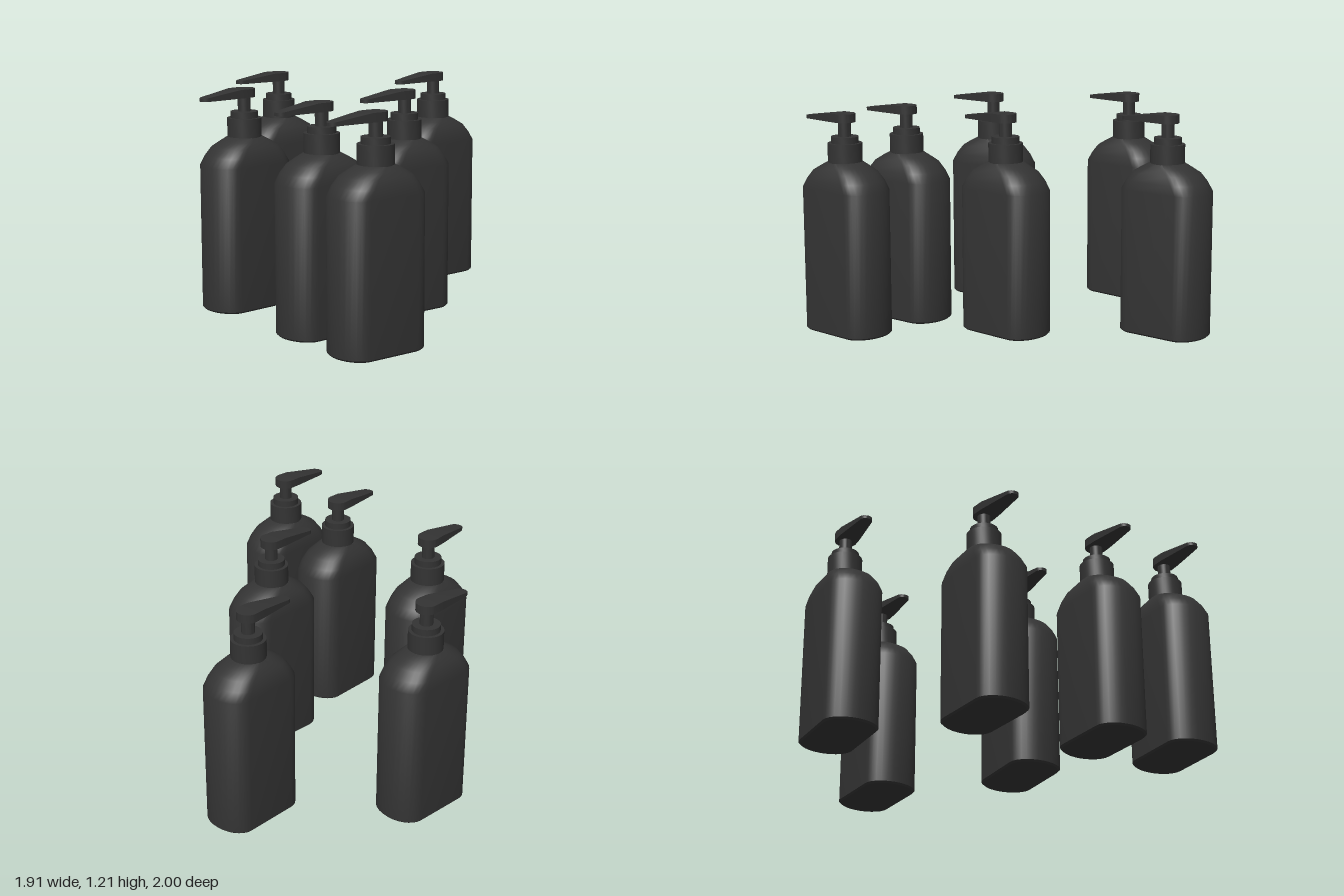
import * as THREE from 'three';
import { toCreasedNormals } from 'three/addons/utils/BufferGeometryUtils.js';

const material = new THREE.MeshStandardMaterial({ color: 0x333333 });

// Skin a list of closed rings (equal point counts) and cap both ends.
function loft(rings, crease) {
  const n = rings[0].length;
  const points = rings.flat();
  const index = [];
  for (let r = 0; r < rings.length - 1; r++) {
    for (let i = 0; i < n; i++) {
      const j = (i + 1) % n;
      const a = r * n + i, b = r * n + j, c = a + n, d = b + n;
      index.push(a, c, b, b, c, d);
    }
  }
  const centre = ring => ring.reduce((s, p) => s.add(p), new THREE.Vector3()).divideScalar(n);
  const start = points.length, end = start + 1, last = (rings.length - 1) * n;
  const all = [...points, centre(rings[0]), centre(rings[rings.length - 1])];
  for (let i = 0; i < n; i++) {
    const j = (i + 1) % n;
    index.push(start, i, j, end, last + j, last + i);
  }
  const geometry = new THREE.BufferGeometry().setFromPoints(all);
  geometry.setIndex(index);
  return toCreasedNormals(geometry, crease);
}

// Horizontal section: straight sides of half length flat, rounded ends.
function bodySection(y, halfWidth, halfDepth, flat) {
  const ring = [], steps = 14;
  for (const side of [1, -1]) {
    for (let i = 0; i <= steps; i++) {
      const t = -Math.PI / 2 + Math.PI * i / steps;
      ring.push(new THREE.Vector3(
        side * (flat + (halfWidth - flat) * Math.cos(t)), y, side * halfDepth * Math.sin(t)));
    }
  }
  return ring;
}

// Bottle body: height, half width, half depth, half length of flat side
const bodyGeometry = loft([
  [0, 0.247, 0.143, 0.145],
  [0.01, 0.257, 0.153, 0.15],
  [0.8, 0.257, 0.153, 0.15],
  [0.85, 0.227, 0.146, 0.12],
  [0.895, 0.19, 0.131, 0.085],
  [0.925, 0.14, 0.11, 0.035],
  [0.95, 0.09, 0.09, 0.002],
].map(s => bodySection(...s)), 0.7);

// Neck cap, collar and stem share one turned profile
const pumpGeometry = toCreasedNormals(new THREE.LatheGeometry([
  [0.094, 0.93], [0.094, 1.05], [0.075, 1.05], [0.075, 1.085],
  [0.035, 1.085], [0.035, 1.17],
].map(p => new THREE.Vector2(...p)), 32), 0.7);

// Pump head: round pad tapering into a rounded nozzle that slopes down
function headGeometry() {
  const tipX = -0.26, tipR = 0.034, padR = 0.06;
  const stations = [];
  for (let i = 0; i <= 8; i++) {
    const t = Math.PI / 2 * Math.max(i / 8, 0.02);
    stations.push([tipX - tipR * Math.cos(t), tipR * Math.sin(t)]);
  }
  stations.push([-0.06, 0.057]);
  for (let i = 0; i <= 12; i++) {
    const t = Math.PI / 2 * Math.max(1 - i / 12, 0.02);
    stations.push([padR * Math.cos(t), padR * Math.sin(t)]);
  }
  return loft(stations.map(([x, w]) => {
    const k = THREE.MathUtils.clamp((-0.06 - x) / 0.234, 0, 1);
    const top = 1.21 - 0.033 * k, bottom = 1.163 - 0.003 * k;
    return [[bottom, w], [top, w], [top, -w], [bottom, -w]]
      .map(([y, z]) => new THREE.Vector3(x, y, z));
  }), 0.7);
}

export function createModel() {
  const model = new THREE.Group();
  model.name = 'soapDispensers';
  const parts = { body: bodyGeometry, neckAndStem: pumpGeometry, pumpHead: headGeometry() };

  // Bottle positions and slight turns: x, z, degrees
  [
    [-0.015, -0.845, -1.7],
    [-0.63, -0.325, 3.8],
    [0.692, -0.26, 1.5],
    [-0.648, 0.387, 2],
    [0.002, 0.28, -1.8],
    [-0.665, 0.84, -1],
  ].forEach(([x, z, turn], i) => {
    const bottle = new THREE.Group();
    bottle.name = `bottle${i + 1}`;
    for (const [name, geometry] of Object.entries(parts)) {
      const mesh = new THREE.Mesh(geometry, material);
      mesh.name = name;
      bottle.add(mesh);
    }
    bottle.position.set(x, 0, z);
    bottle.rotation.y = THREE.MathUtils.degToRad(turn);
    model.add(bottle);
  });
  return model;
}
